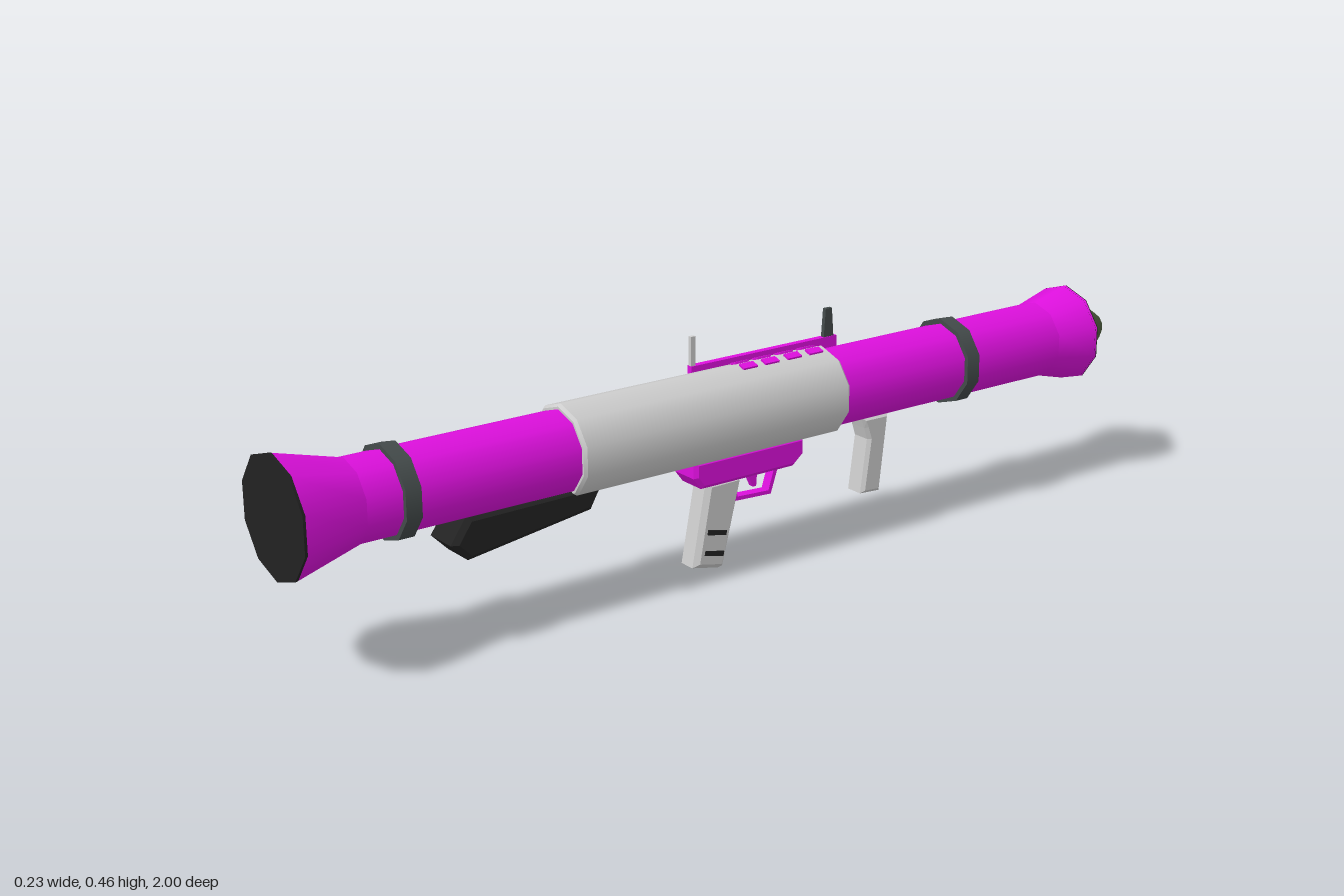
import * as THREE from 'three';

const AXIS_Y = 0.313; // height of the tube axis
const SIDES = 10;

function mat(name, color) {
  const m = new THREE.MeshStandardMaterial({ color });
  m.name = name;
  return m;
}

export function createModel() {
  const magenta = mat('magenta', 0xdd10dd);
  const grey = mat('lightGrey', 0xcdcdcd);
  const black = mat('black', 0x222222);
  const rubber = mat('darkGrey', 0x434a4a);
  const green = mat('olive', 0x4e5d3f);
  const yellow = mat('yellow', 0xd9a11e);
  const slate = mat('slate', 0x44496a);

  const model = new THREE.Group();
  model.name = 'launcher';

  function add(name, geometry, material, x = 0, y = 0, z = 0) {
    const mesh = new THREE.Mesh(geometry, material);
    mesh.name = name;
    mesh.position.set(x, y, z);
    model.add(mesh);
    return mesh;
  }

  // Ten-sided section along z, from z0 (radius r0) up to z1 (radius r1)
  function section(name, material, z0, z1, r0, r1, open = false) {
    const g = new THREE.CylinderGeometry(r1, r0, z1 - z0, SIDES, 1, open);
    g.rotateX(Math.PI / 2);
    return add(name, g, material, 0, AXIS_Y, (z0 + z1) / 2);
  }

  // Side outline of [z, y] points, extruded across x with chamfered edges
  function slab(name, material, points, width, chamfer, hole) {
    const toV = ([z, y]) => new THREE.Vector2(-z, y);
    const shape = new THREE.Shape(points.map(toV));
    if (hole) shape.holes.push(new THREE.Path(hole.map(toV)));
    const g = new THREE.ExtrudeGeometry(shape, {
      depth: width - 2 * chamfer, bevelEnabled: chamfer > 0, bevelSegments: 1,
      bevelSize: chamfer, bevelThickness: chamfer, bevelOffset: -chamfer,
    });
    g.translate(0, 0, -(width - 2 * chamfer) / 2);
    g.rotateY(Math.PI / 2);
    return add(name, g, material);
  }

  // Tube with flared ends
  section('tube', magenta, -0.8, 0.86, 0.081, 0.081, true);
  section('frontFlare', magenta, 0.86, 1, 0.081, 0.119, true);
  section('rearFlare', magenta, -0.89, -0.8, 0.104, 0.081, true);
  section('frontCap', black, 0.994, 1, 0.1175, 0.119);
  section('rearCap', black, -0.892, -0.886, 0.104, 0.103);

  // Sleeve with softened rims
  section('sleeve', grey, -0.21, 0.41, 0.091, 0.091, true);
  section('sleeveFrontRim', grey, 0.41, 0.416, 0.091, 0.086);
  section('sleeveRearRim', grey, -0.216, -0.21, 0.086, 0.091);

  // Clamp rings
  for (const z of [0.773, -0.545]) section('clampRing', rubber, z - 0.016, z + 0.016, 0.091, 0.091);

  // Warhead
  section('warheadBand', yellow, -0.912, -0.89, 0.073, 0.073);
  const nose = [[0.07, -0.912], [0.067, -0.922], [0.043, -0.96], [0.024, -0.985], [0.012, -0.994]];
  for (let i = 1; i < nose.length; i++) {
    const [ra, za] = nose[i - 1], [rb, zb] = nose[i];
    section('warheadNose', green, zb, za, rb, ra, true);
  }
  section('warheadTip', slate, -1, -0.994, 0.003, 0.012);

  // Shoulder pad
  slab('shoulderPad', black,
    [[0.64, 0.246], [0.345, 0.246], [0.372, 0.198], [0.64, 0.16], [0.675, 0.195]], 0.09, 0.01);

  // Trigger housing, guard and trigger
  slab('triggerHousing', magenta,
    [[0.13, 0.238], [-0.14, 0.238], [-0.14, 0.2], [-0.115, 0.179], [0.112, 0.179], [0.13, 0.203]], 0.076, 0.008);
  slab('triggerGuard', magenta,
    [[0.03, 0.182], [0.015, 0.127], [-0.075, 0.123], [-0.095, 0.182]], 0.022, 0,
    [[0.018, 0.18], [0.008, 0.135], [-0.069, 0.131], [-0.085, 0.18]]);
  slab('trigger', magenta,
    [[-0.015, 0.185], [-0.045, 0.185], [-0.042, 0.145], [-0.034, 0.145]], 0.012, 0);

  // Grips
  slab('rearGrip', grey,
    [[0.092, 0.185], [0.005, 0.185], [0.052, 0.002], [0.063, 0], [0.125, 0.013]], 0.056, 0.01);
  slab('frontGrip', grey,
    [[-0.302, 0.238], [-0.372, 0.238], [-0.352, 0.072], [-0.302, 0.075], [-0.318, 0.19], [-0.31, 0.215]], 0.052, 0.007);

  // Grip stripes on both sides
  for (const side of [-1, 1]) {
    for (const [z, y] of [[0.072, 0.079], [0.079, 0.037]]) {
      const stripe = add('gripStripe', new THREE.BoxGeometry(0.004, 0.01, 0.046), black, side * 0.028, y, z);
      stripe.rotation.x = -0.22;
    }
  }

  // Vents on the sleeve roof, following its slope
  for (const side of [-1, 1]) {
    for (const z of [-0.18, -0.126, -0.07, -0.016]) {
      const vent = add('vent', new THREE.BoxGeometry(0.017, 0.007, 0.034), magenta,
        side * 0.0135, AXIS_Y + 0.0872, z);
      vent.rotation.z = -side * 0.325;
    }
  }

  // Sight rail and posts
  add('sightRail', new THREE.BoxGeometry(0.014, 0.03, 0.365), magenta, -0.063, 0.383, -0.113);
  add('frontSight', new THREE.BoxGeometry(0.008, 0.075, 0.011), grey, -0.062, 0.42, 0.064);
  slab('rearSight', rubber,
    [[-0.262, 0.38], [-0.29, 0.38], [-0.284, 0.457], [-0.268, 0.457]], 0.009, 0).position.x = -0.062;

  return model;
}
